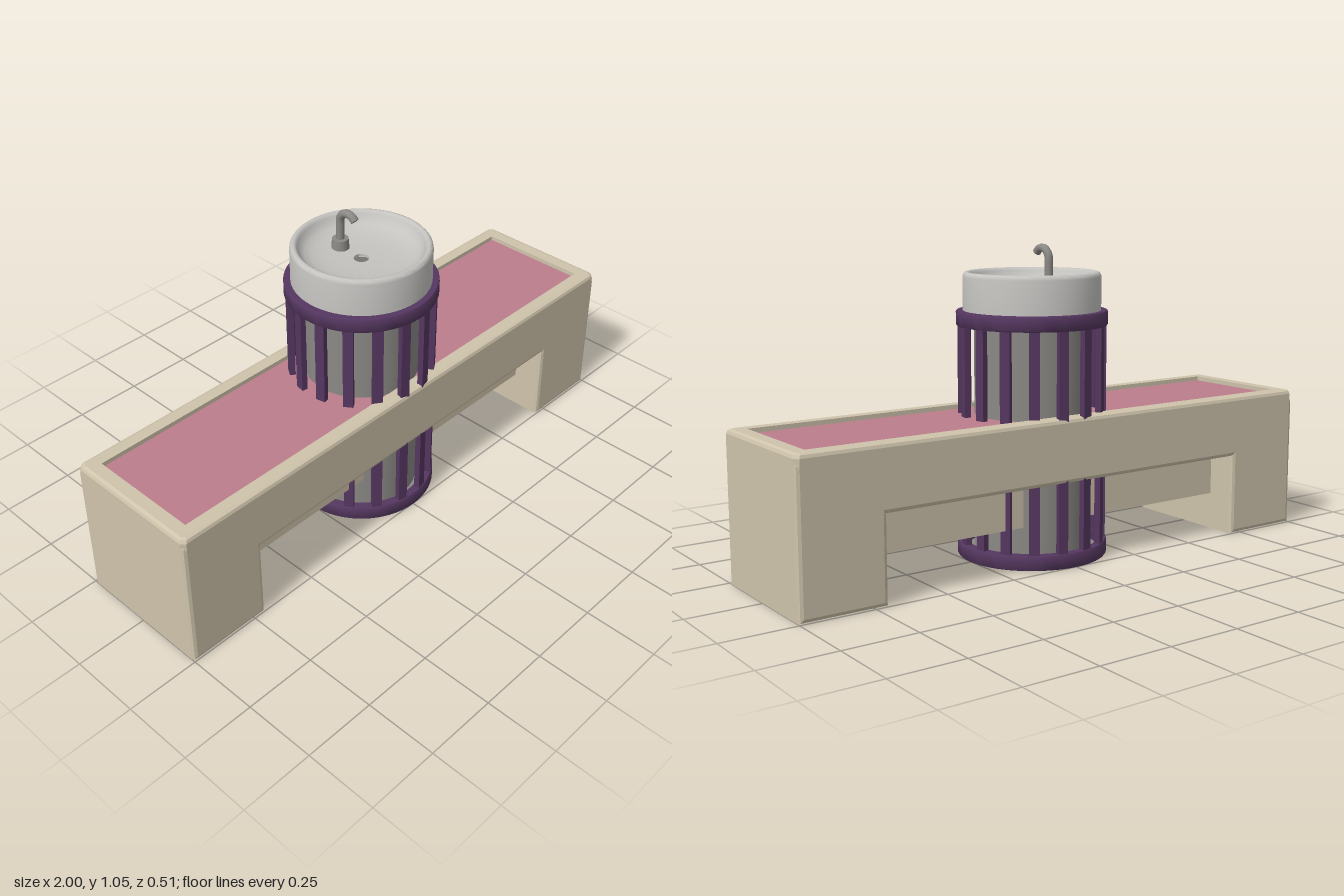
import * as THREE from 'three';
import { toCreasedNormals } from 'three/addons/utils/BufferGeometryUtils.js';

const mat = (name, color, side = THREE.FrontSide) => {
  const m = new THREE.MeshStandardMaterial({ color, side });
  m.name = name;
  return m;
};

export function createModel() {
  const stone = mat('sandstone', 0xcfc4ac);
  const pink = mat('pinkInlay', 0xbc7d8b);
  const purple = mat('purpleMetal', 0x553760);
  const ceramic = mat('paleCeramic', 0xc4c3c0, THREE.DoubleSide);
  const steel = mat('greySteel', 0x8b8985, THREE.DoubleSide);

  const model = new THREE.Group();
  model.name = 'fountainBench';
  const add = (name, geometry, material, parent = model) => {
    const mesh = new THREE.Mesh(geometry, material);
    mesh.name = name;
    parent.add(mesh);
    return mesh;
  };
  const lathe = (points, segments = 64) =>
    toCreasedNormals(new THREE.LatheGeometry(points.map(([r, y]) => new THREE.Vector2(r, y)), segments), 0.7);

  // Bench body: an arch with chamfered edges
  const arch = new THREE.Shape();
  [[-1, 0], [-0.705, 0], [-0.705, 0.285], [0.705, 0.285], [0.705, 0], [1, 0], [1, 0.47], [-1, 0.47]]
    .forEach(([x, y], i) => (i ? arch.lineTo(x, y) : arch.moveTo(x, y)));
  const bevel = 0.014;
  const body = new THREE.ExtrudeGeometry(arch, {
    depth: 0.5 - 2 * bevel, bevelThickness: bevel, bevelSize: bevel, bevelOffset: -bevel, bevelSegments: 2,
  });
  body.translate(0, 0, -0.25 + bevel);
  add('benchBody', body, stone);

  // Raised rim around the seat, from chamfered rectangular loops
  const loops = [
    [1, 0.25, 0.43, bevel], [1, 0.25, 0.486, bevel], [0.996, 0.246, 0.496, bevel],
    [0.986, 0.236, 0.5, 0.008], [0.945, 0.198, 0.5, 0.001], [0.945, 0.198, 0.468, 0.001],
  ].map(([x, z, y, c]) => [
    [x, y, z - c], [x, y, c - z], [x - c, y, -z], [c - x, y, -z],
    [-x, y, c - z], [-x, y, z - c], [c - x, y, z], [x - c, y, z],
  ]);
  const corners = [];
  for (let i = 0; i < loops.length - 1; i++) {
    for (let j = 0; j < 8; j++) {
      const k = (j + 1) % 8;
      const [a, b, c, d] = [loops[i][j], loops[i][k], loops[i + 1][k], loops[i + 1][j]];
      corners.push(...a, ...b, ...c, ...a, ...c, ...d);
    }
  }
  const rim = new THREE.BufferGeometry();
  rim.setAttribute('position', new THREE.Float32BufferAttribute(corners, 3));
  rim.computeVertexNormals();
  add('seatRim', rim, stone);

  // Seat inlay and the beam beneath the seat
  add('seatInlay', new THREE.BoxGeometry(1.89, 0.009, 0.396), pink).position.y = 0.48;
  add('lowerBeam', new THREE.BoxGeometry(1.42, 0.17, 0.28), stone).position.y = 0.215;

  // Pedestal: drum, floor, two rings and a cage of upright slats
  const pedestal = new THREE.Group();
  pedestal.name = 'pedestal';
  model.add(pedestal);
  add('drum', new THREE.CylinderGeometry(0.195, 0.195, 0.79, 48, 1, true), steel, pedestal).position.y = 0.4;
  add('floorDisc', new THREE.CylinderGeometry(0.24, 0.24, 0.012, 64), steel, pedestal).position.y = 0.009;
  const ring = lathe([[0.225, 0], [0.252, 0], [0.255, 0.004], [0.255, 0.046], [0.252, 0.05], [0.225, 0.05], [0.225, 0]]);
  add('bottomRing', ring, purple, pedestal);
  add('topRing', ring, purple, pedestal).position.y = 0.783;
  const slat = new THREE.BoxGeometry(0.034, 0.76, 0.02);
  for (let i = 0; i < 16; i++) {
    const angle = ((i + 0.5) / 16) * Math.PI * 2;
    const bar = add('slat', slat, purple, pedestal);
    bar.position.set(0.24 * Math.sin(angle), 0.415, 0.24 * Math.cos(angle));
    bar.rotation.y = angle;
  }

  // Basin with a shallow bowl and an open drain
  add('basin', lathe([
    [0.19, 0.79], [0.232, 0.79], [0.232, 0.945], [0.23, 0.953], [0.225, 0.959], [0.218, 0.961],
    [0.211, 0.958], [0.206, 0.95], [0.2, 0.937], [0.185, 0.923], [0.16, 0.913], [0.12, 0.907],
    [0.07, 0.904], [0.025, 0.903], [0.025, 0.893],
  ]), ceramic);

  // Tap: base flange and gooseneck spout
  const tap = new THREE.Group();
  tap.name = 'tap';
  model.add(tap);
  add('tapBase', new THREE.CylinderGeometry(0.027, 0.03, 0.036, 24), steel, tap).position.set(0, 0.921, -0.095);
  const points = [0.92, 0.95, 0.98].map((y) => new THREE.Vector3(0, y, -0.095));
  for (let i = 0; i <= 7; i++) {
    const a = Math.PI - (i / 7) * 2.5;
    points.push(new THREE.Vector3(0, 1.004 + 0.037 * Math.sin(a), -0.058 + 0.037 * Math.cos(a)));
  }
  const path = new THREE.CatmullRomCurve3(points);
  add('spout', new THREE.TubeGeometry(path, 32, 0.014, 12), steel, tap);
  const cap = add('spoutEnd', new THREE.CircleGeometry(0.014, 12), steel, tap);
  cap.position.copy(path.getPoint(1));
  cap.lookAt(path.getPoint(1).add(path.getTangent(1)));

  return model;
}
